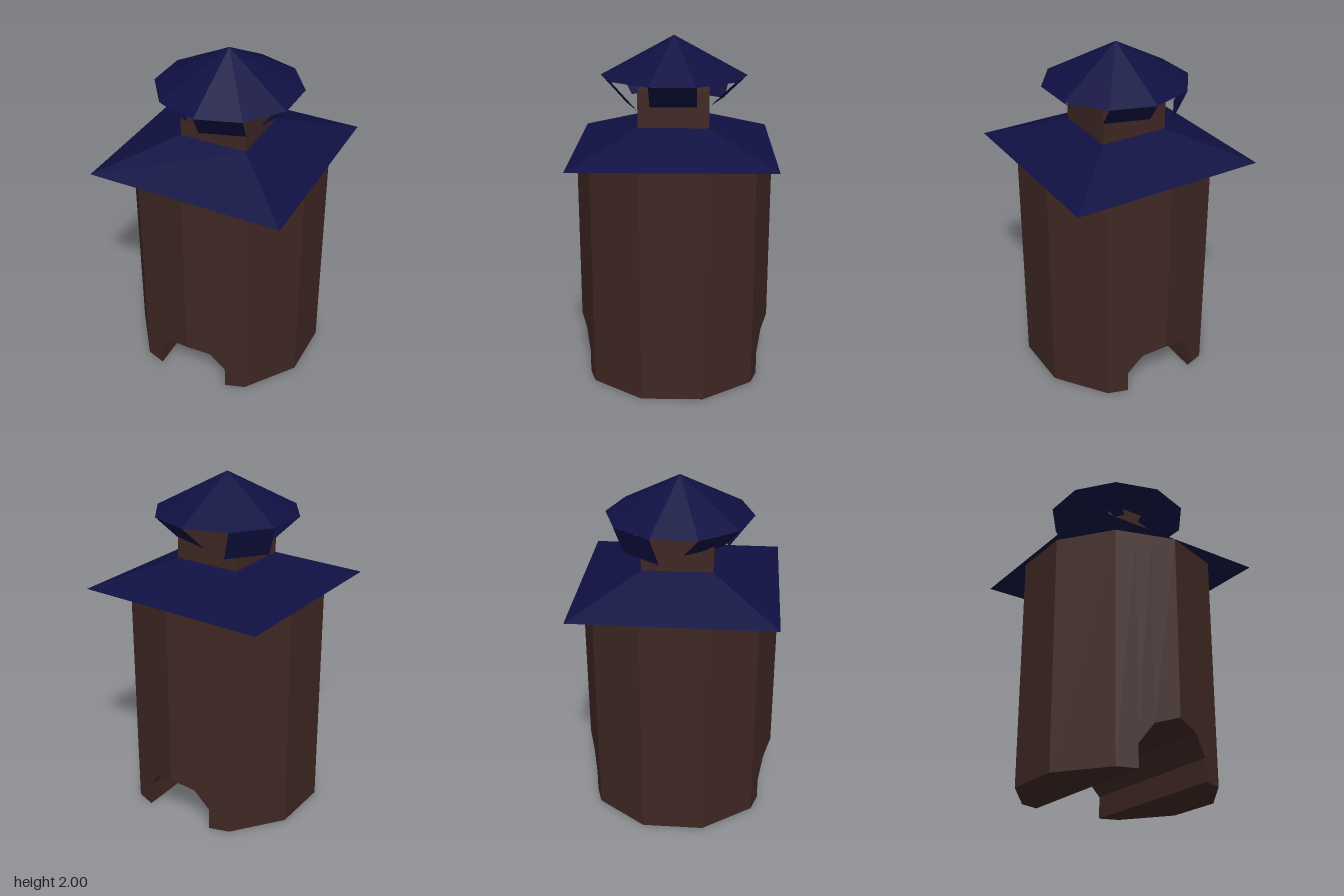
import * as THREE from 'three';

const brown = new THREE.MeshStandardMaterial({ color: 0x3e2723, flatShading: true });
const blue = new THREE.MeshStandardMaterial({ color: 0x0f1042, flatShading: true });
const bluePanel = blue.clone();
bluePanel.side = THREE.DoubleSide;

// Non-indexed geometry from four-cornered faces (counter-clockwise)
function quads(faces) {
  const pos = [];
  for (const [a, b, c, d] of faces) pos.push(...a, ...b, ...c, ...a, ...c, ...d);
  const g = new THREE.BufferGeometry();
  g.setAttribute('position', new THREE.Float32BufferAttribute(pos, 3));
  g.computeVertexNormals();
  return g;
}

function add(group, name, geometry, material, y = 0) {
  const mesh = new THREE.Mesh(geometry, material);
  mesh.name = name;
  mesh.position.y = y;
  group.add(mesh);
  return mesh;
}

// Ten-sided tower with an arched tunnel running front to back
function towerGeometry(top) {
  const r = 0.57;
  const corner = [0, 1, 2].map(i => [r * Math.sin(i * Math.PI / 5), r * Math.cos(i * Math.PI / 5)]);
  const depth = x => {
    const ax = Math.abs(x);
    const i = ax < corner[1][0] ? 0 : 1;
    const [p, q] = [corner[i], corner[i + 1]];
    return p[1] + (q[1] - p[1]) * (ax - p[0]) / (q[0] - p[0]);
  };
  // Lower outline, from the outer wall to the crown of the arch, then mirrored
  const half = [[corner[2][0], 0], [corner[1][0], 0], [0.219, 0], [0.219, 0.131], [0.135, 0.246]];
  const outline = [
    ...half.map(([x, y]) => [-x, y]), [0, 0.29], ...half.slice().reverse(),
  ];
  const faces = [];
  for (let i = 0; i < outline.length - 1; i++) {
    const [ax, ay] = outline[i], [bx, by] = outline[i + 1];
    if (ax === bx) continue;
    const za = depth(ax), zb = depth(bx);
    faces.push([[ax, ay, za], [bx, by, zb], [bx, top, zb], [ax, top, za]]);
    faces.push([[bx, by, -zb], [ax, ay, -za], [ax, top, -za], [bx, top, -zb]]);
  }
  // Underside, tunnel lining and the two side walls
  const w = corner[2][0];
  const loop = [[-w, top], ...outline, [w, top]];
  for (let i = 0; i < loop.length - 1; i++) {
    const [ax, ay] = loop[i], [bx, by] = loop[i + 1];
    const za = depth(ax), zb = depth(bx);
    faces.push([[ax, ay, -za], [bx, by, -zb], [bx, by, zb], [ax, ay, za]]);
  }
  return quads(faces);
}

// Flat panel hanging from one edge of the cap and leaning inward
function panelGeometry(degrees, inset, bottom) {
  const t = THREE.MathUtils.degToRad(degrees);
  const point = (radius, side, y) => [
    radius * Math.cos(t) - side * Math.sin(t), y, radius * Math.sin(t) + side * Math.cos(t),
  ];
  const h = 0.13, outer = 0.398, inner = outer - inset;
  return quads([[point(outer, h, 1.775), point(outer, -h, 1.775), point(inner, -h, bottom), point(inner, h, bottom)]]);
}

export function createModel() {
  const model = new THREE.Group();
  model.name = 'tower';

  add(model, 'towerBody', towerGeometry(1.355), brown);

  // Square sloping roof
  const s = Math.SQRT2;
  const roof = new THREE.CylinderGeometry(0.2 * s, 0.57 * s, 0.155, 4).rotateY(Math.PI / 4);
  add(model, 'roof', roof, blue, 1.4325);

  add(model, 'chimney', new THREE.BoxGeometry(0.4, 0.205, 0.4), brown, 1.6125);

  // Ten-sided cap and the five panels under every other edge
  add(model, 'cap', new THREE.ConeGeometry(0.418, 0.225, 10), blue, 1.8875);
  const panels = new THREE.Group();
  panels.name = 'capPanels';
  const settings = [[0, 0.15, 1.637], [72, 0.147, 1.605], [144, 0.15, 1.637], [216, 0.075, 1.605], [288, 0.14, 1.637]];
  for (const [angle, inset, bottom] of settings) {
    add(panels, 'capPanel', panelGeometry(angle, inset, bottom), bluePanel);
  }
  model.add(panels);
  return model;
}
